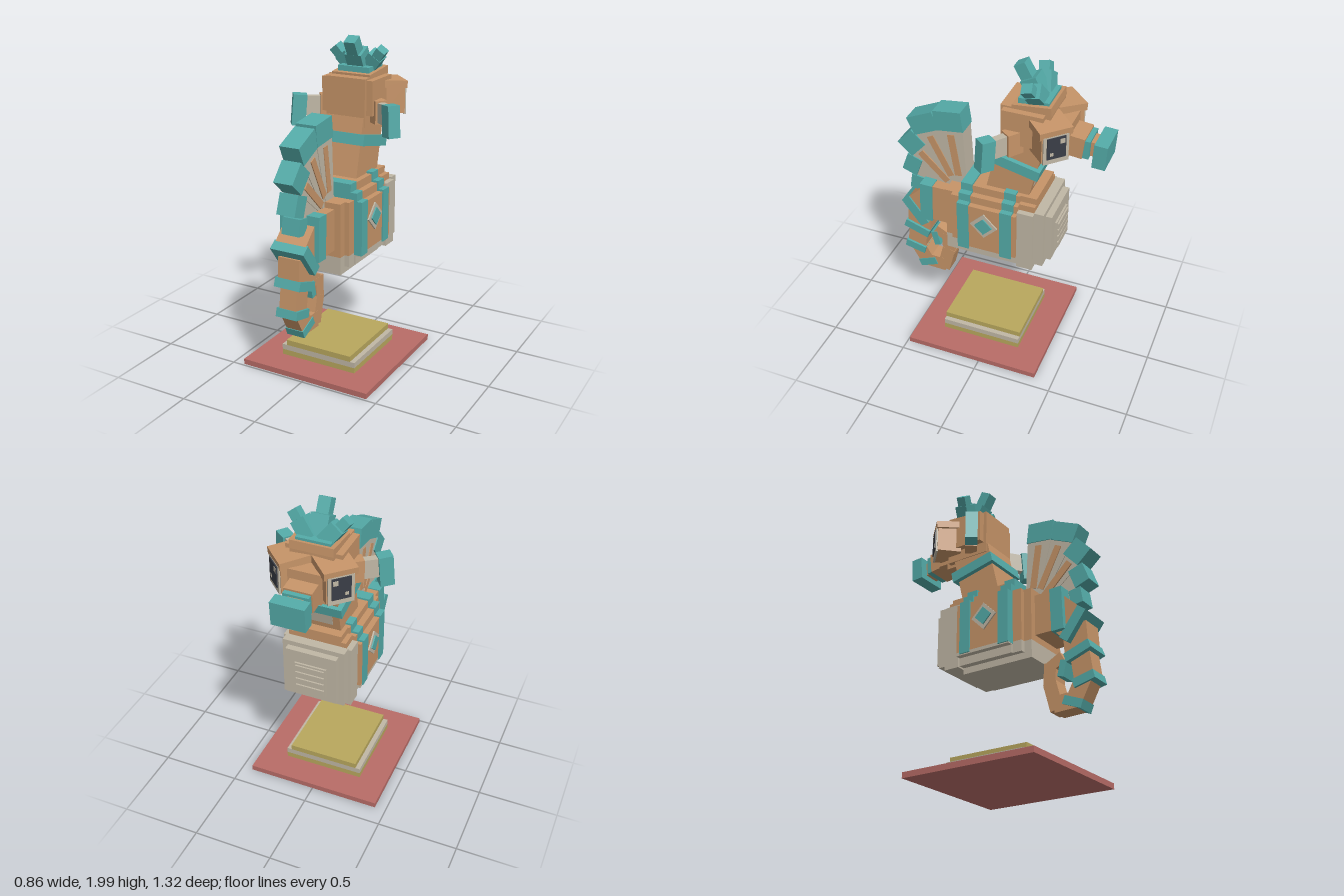
import * as THREE from 'three';

const mat = (name, color) => {
  const m = new THREE.MeshStandardMaterial({ color });
  m.name = name;
  return m;
};

export function createModel() {
  const root = new THREE.Group();
  root.name = 'blockSeahorse';
  const skin = mat('tan', 0xc69468), teal = mat('teal', 0x54aba8), bone = mat('bone', 0xc0b7a5);
  const red = mat('red', 0xb86c67), gold = mat('gold', 0xb8a75d), dark = mat('dark', 0x3a3d46);

  // Box from size and centre
  const box = (name, m, size, pos, parent = root) => {
    const mesh = new THREE.Mesh(new THREE.BoxGeometry(...size), m);
    mesh.position.set(...pos);
    mesh.name = name;
    parent.add(mesh);
    return mesh;
  };
  // Box from half width, y range and z range, centred on x
  const slab = (name, m, hw, y0, y1, z0, z1) =>
    box(name, m, [2 * hw, y1 - y0, z1 - z0], [0, (y0 + y1) / 2, (z0 + z1) / 2]);
  // Box running between two [z, y] points in the side plane
  const limb = (name, m, a, b, thick, hw) => {
    const dz = b[0] - a[0], dy = b[1] - a[1];
    const mesh = box(name, m, [2 * hw, Math.hypot(dz, dy), thick], [0, (a[1] + b[1]) / 2, (a[0] + b[0]) / 2]);
    mesh.rotation.x = Math.atan2(dz, dy);
    return mesh;
  };
  // Band around a [z, y] centre, perpendicular to axis [dz, dy]
  const band = (name, c, axis, len, thick, hw) => {
    const k = len / 2 / Math.hypot(...axis);
    return limb(name, teal, [c[0] - axis[0] * k, c[1] - axis[1] * k], [c[0] + axis[0] * k, c[1] + axis[1] * k], thick, hw);
  };

  // Stand
  slab('standPlate', red, 0.43, 0, 0.035, -0.38, 0.485);
  slab('standLower', gold, 0.256, 0.035, 0.07, -0.205, 0.31);
  slab('standMiddle', bone, 0.256, 0.07, 0.105, -0.205, 0.31);
  slab('standTop', gold, 0.225, 0.105, 0.14, -0.205, 0.31);

  // Stepped body with pale belly
  const tiers = [[0.235, 0.75, 1.08], [0.2, 0.7, 1.13], [0.16, 0.66, 1.18]];
  for (const [hw, y0, y1] of tiers) {
    slab('body', skin, hw, 0.77, y1, -0.17, 0.2);
    slab('belly', bone, hw, y0, 0.77, -0.17, 0.2);
    for (const z of [0.165, -0.108]) slab('strap', teal, hw + 0.008, 0.757, y1 + 0.012, z - 0.036, z + 0.036);
  }
  slab('rump', skin, 0.19, 0.77, 1.1, 0.2, 0.26);
  slab('rumpBelly', bone, 0.19, 0.7, 0.77, 0.2, 0.26);
  slab('rumpBack', skin, 0.16, 0.77, 1.1, 0.26, 0.31);
  slab('rumpBackBelly', bone, 0.16, 0.66, 0.77, 0.2, 0.31);
  slab('shoulder', skin, 0.18, 1.1, 1.14, -0.27, -0.17);
  slab('shoulderTop', skin, 0.15, 1.14, 1.18, -0.27, -0.17);

  // Chest plates and grooved panel
  slab('chestPlate', bone, 0.215, 0.69, 1.1, -0.27, -0.17);
  slab('chestPlate', bone, 0.195, 0.725, 1.11, -0.33, -0.27);
  slab('chestPlate', bone, 0.16, 0.76, 1.08, -0.37, -0.33);
  slab('chestPanel', bone, 0.1, 0.8, 1.0, -0.382, -0.37);
  for (let i = 0; i < 4; i++) slab('chestSlat', bone, 0.09, 0.81 + i * 0.047, 0.847 + i * 0.047, -0.392, -0.382);

  // Side diamonds
  for (const s of [1, -1]) {
    box('diamondFrame', bone, [0.014, 0.122, 0.122], [s * 0.237, 0.96, 0.03]).rotation.x = Math.PI / 4;
    box('diamond', teal, [0.02, 0.08, 0.08], [s * 0.242, 0.96, 0.03]).rotation.x = Math.PI / 4;
  }

  // Neck
  limb('neck', skin, [-0.06, 1.1], [-0.155, 1.5], 0.26, 0.125);
  band('neckCollar', [-0.128, 1.375], [-0.23, 1], 0.066, 0.305, 0.155);
  limb('throatPlate', bone, [-0.21, 1.22], [-0.245, 1.36], 0.03, 0.08);

  // Head
  slab('head', skin, 0.17, 1.54, 1.75, -0.3, -0.055);
  slab('headCore', skin, 0.13, 1.47, 1.76, -0.33, -0.035);
  slab('face', skin, 0.1, 1.49, 1.68, -0.43, -0.3);
  slab('chin', skin, 0.1, 1.45, 1.5, -0.36, -0.08);
  limb('headCap', skin, [-0.22, 1.735], [-0.215, 1.785], 0.23, 0.13);

  // Eyes set in angled sockets
  for (const s of [1, -1]) {
    const eye = new THREE.Group();
    eye.name = 'eye';
    eye.position.set(s * 0.2, 1.6, -0.39);
    eye.rotation.y = s * Math.PI * 0.75;
    root.add(eye);
    box('socket', skin, [0.17, 0.17, 0.15], [0, 0, -0.085], eye);
    box('brow', skin, [0.2, 0.045, 0.18], [0, 0.1, -0.09], eye).rotation.x = 0.08;
    box('eyeFrame', bone, [0.155, 0.175, 0.012], [0, -0.006, -0.006], eye);
    box('pupil', dark, [0.115, 0.135, 0.008], [0, 0.006, 0.002], eye);
    box('glint', bone, [0.03, 0.03, 0.006], [s * 0.035, 0.045, 0.005], eye);
    box('glint', bone, [0.02, 0.02, 0.006], [-s * 0.03, -0.03, 0.005], eye);
  }

  // Snout
  limb('muzzle', skin, [-0.4, 1.56], [-0.51, 1.548], 0.13, 0.085);
  band('snoutRing', [-0.522, 1.543], [1, 0.05], 0.04, 0.115, 0.078);
  limb('snout', skin, [-0.53, 1.54], [-0.59, 1.535], 0.09, 0.05);
  band('snoutTip', [-0.61, 1.528], [1, 0.06], 0.078, 0.15, 0.103);

  // Ear fins
  for (const s of [1, -1]) {
    const ear = new THREE.Group();
    ear.name = 'earFin';
    ear.position.set(s * 0.16, 1.56, -0.13);
    ear.rotation.y = s > 0 ? -0.64 : 0.64 - Math.PI;
    root.add(ear);
    box('earRoot', skin, [0.1, 0.14, 0.075], [0.01, 0, 0], ear);
    box('earVane', bone, [0.14, 0.12, 0.045], [0.09, 0, 0], ear);
    box('earTip', teal, [0.085, 0.19, 0.075], [0.19, -0.022, 0], ear).rotation.z = 0.08;
  }

  // Crest
  slab('crestBase', teal, 0.105, 1.775, 1.81, -0.31, -0.13);
  limb('crestMiddle', teal, [-0.22, 1.79], [-0.165, 1.9], 0.1, 0.055);
  limb('crestTip', teal, [-0.2, 1.81], [-0.107, 1.975], 0.072, 0.037);
  for (const s of [1, -1]) {
    const spike = new THREE.Group();
    spike.name = 'crestSide';
    spike.position.set(s * 0.05, 1.79, -0.24);
    spike.rotation.set(0.25, 0, -s * 0.65);
    root.add(spike);
    box('spikeRoot', teal, [0.09, 0.12, 0.09], [0, 0.05, 0], spike);
    box('spikeTip', teal, [0.06, 0.12, 0.065], [s * 0.01, 0.11, 0.01], spike);
  }

  // Back fan: tapered vanes with stripe and cap
  const pivot = [0.24, 0.99];
  const caps = [[0.321, 1.523, 0.13, 0.178, 0.13], [0.485, 1.47, 0.43, 0.182, 0.12],
    [0.57, 1.31, 0.84, 0.14, 0.125], [0.575, 1.15, 1.22, 0.125, 0.1], [0.55, 1.02, 1.42, 0.1, 0.08]];
  caps.forEach(([z, y, tilt, wide, deep], i) => {
    const hw = 0.066 - i * 0.002, up = [Math.sin(tilt), Math.cos(tilt)];
    band('fanCap', [z, y], up, deep, wide, hw);
    const h = wide / 2, across = [up[1], -up[0]];
    const shape = new THREE.Shape([[1, 1], [-1, 1], [-0.4, 0], [0.4, 0]].map(([u, end]) => {
      const c = end ? [z, y] : pivot;
      return new THREE.Vector2(-(c[0] + across[0] * h * u), c[1] + across[1] * h * u);
    }));
    const depth = 2 * hw - 0.012 - i * 0.004;
    const geo = new THREE.ExtrudeGeometry(shape, { depth, bevelEnabled: false });
    geo.translate(0, 0, -depth / 2).rotateY(Math.PI / 2);
    const vane = new THREE.Mesh(geo, bone);
    vane.name = 'fanVane';
    root.add(vane);
    if (i < 3) {
      const at = t => [pivot[0] + (z - pivot[0]) * t, pivot[1] + (y - pivot[1]) * t];
      limb('fanStripe', skin, at(0.3), at(0.83), 0.045, hw - 0.002);
    }
  });

  // Curled tail
  slab('tailRoot', skin, 0.12, 0.81, 1.065, 0.31, 0.43);
  const tail = [
    [[0.43, 0.945], [0.55, 0.83], 0.2, 0.1], [[0.54, 0.84], [0.55, 0.67], 0.155, 0.07],
    [[0.56, 0.67], [0.583, 0.5], 0.125, 0.055], [[0.583, 0.52], [0.51, 0.385], 0.11, 0.054],
    [[0.53, 0.395], [0.385, 0.39], 0.1, 0.053], [[0.4, 0.36], [0.356, 0.53], 0.085, 0.052],
    [[0.357, 0.5], [0.362, 0.65], 0.08, 0.051], [[0.345, 0.615], [0.445, 0.67], 0.07, 0.05],
  ];
  for (const [a, b, thick, hw] of tail) limb('tailSegment', skin, a, b, thick, hw);
  const rings = [
    [[0.46, 0.937], [1, 0.03], 0.08, 0.27, 0.13], [[0.55, 0.828], [0.8, -0.6], 0.065, 0.21, 0.11],
    [[0.56, 0.668], [-0.33, 0.94], 0.055, 0.17, 0.085], [[0.586, 0.499], [-0.23, 0.97], 0.052, 0.138, 0.07],
    [[0.507, 0.382], [0.38, 0.92], 0.052, 0.127, 0.06], [[0.443, 0.598], [1, -0.25], 0.042, 0.1, 0.055],
  ];
  for (const r of rings) band('tailRing', ...r);

  return root;
}
